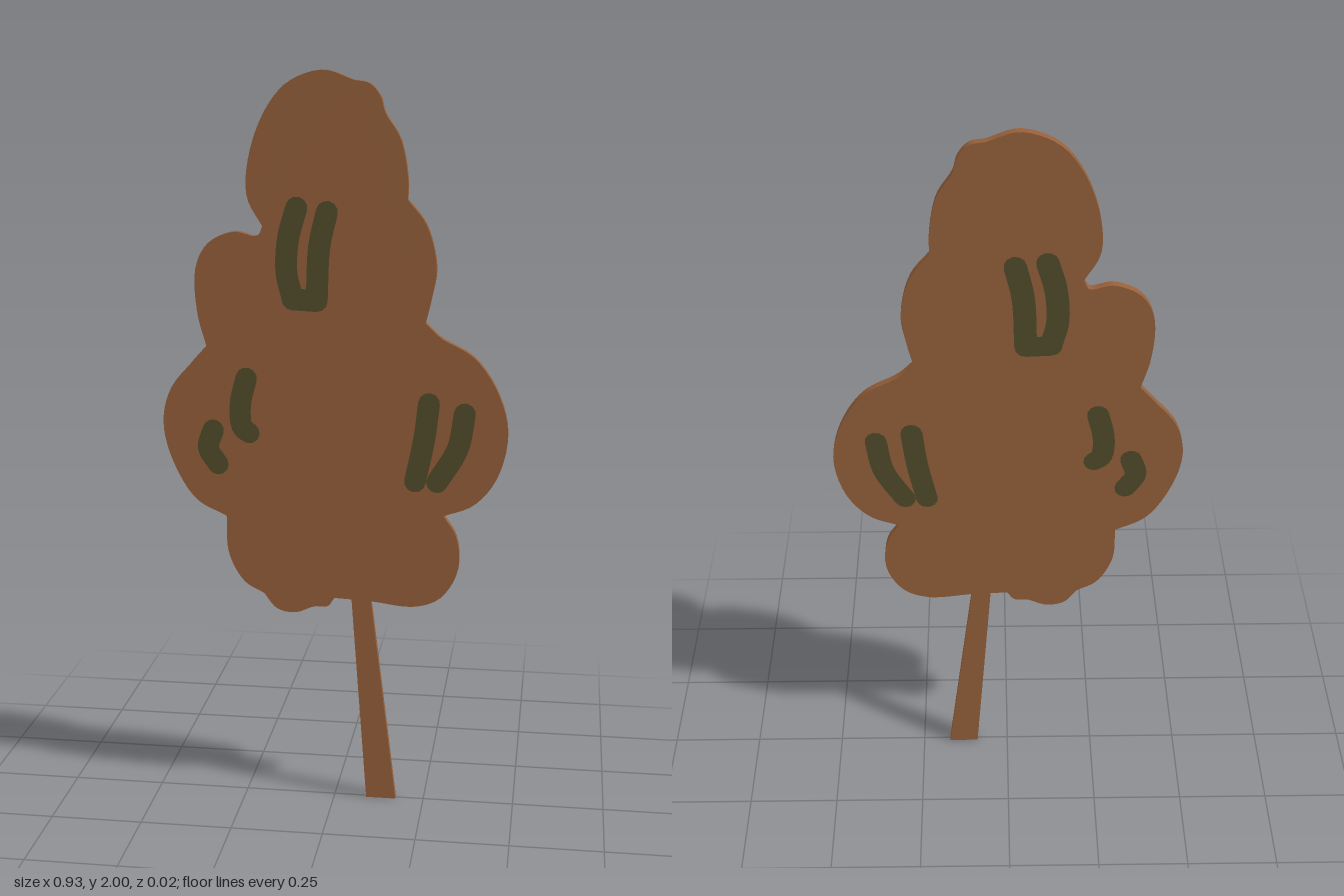
import * as THREE from 'three';
import { toCreasedNormals } from 'three/addons/utils/BufferGeometryUtils.js';

const THICK = 0.022;

const curveThrough = (pts) =>
  new THREE.CatmullRomCurve3(pts.map(([x, y]) => new THREE.Vector3(x, y, 0)), false, 'centripetal');

function slab(shape, depth, z, material, name) {
  const geometry = new THREE.ExtrudeGeometry(shape, { depth, bevelEnabled: false });
  geometry.translate(0, 0, z);
  const mesh = new THREE.Mesh(toCreasedNormals(geometry, 0.6), material);
  mesh.name = name;
  return mesh;
}

// Rounded brush stroke along a path
function strokeShape(pts, width) {
  const curve = curveThrough(pts), n = 14, r = width / 2;
  const left = [], right = [];
  for (let i = 0; i <= n; i++) {
    const t = i / n, p = curve.getPoint(t), d = curve.getTangent(t);
    left.push(new THREE.Vector2(p.x - d.y * r, p.y + d.x * r));
    right.push(new THREE.Vector2(p.x + d.y * r, p.y - d.x * r));
  }
  const cap = (t, sign) => {
    const p = curve.getPoint(t), d = curve.getTangent(t);
    const start = Math.atan2(d.x * sign, -d.y * sign);
    return [1, 2, 3, 4, 5].map((k) => {
      const a = start - (k * Math.PI) / 6;
      return new THREE.Vector2(p.x + Math.cos(a) * r, p.y + Math.sin(a) * r);
    });
  };
  return new THREE.Shape([...left, ...cap(1, 1), ...right.reverse(), ...cap(0, -1)]);
}

export function createModel() {
  const group = new THREE.Group();
  const brown = new THREE.MeshStandardMaterial({ color: 0x96603a });
  brown.name = 'brown';
  const olive = new THREE.MeshStandardMaterial({ color: 0x524d2b });
  olive.name = 'olive';

  // Crown outline, one curve per lobe, clockwise, meeting in sharp notches
  const lobes = [
    [[-0.19, 1.6], [-0.23, 1.675], [-0.225, 1.78], [-0.18, 1.9], [-0.12, 1.97], [-0.03, 2], [0.05, 1.975]],
    [[0.05, 1.975], [0.09, 1.967], [0.118, 1.935], [0.13, 1.895], [0.17, 1.83], [0.19, 1.73], [0.19, 1.675]],
    [[0.19, 1.675], [0.24, 1.61], [0.267, 1.5], [0.255, 1.42], [0.24, 1.355]],
    [[0.24, 1.355], [0.28, 1.317], [0.37, 1.265], [0.435, 1.17], [0.462, 1.06], [0.435, 0.94], [0.375, 0.865], [0.295, 0.832]],
    [[0.295, 0.832], [0.33, 0.775], [0.336, 0.68], [0.29, 0.6], [0.22, 0.572], [0.1, 0.582], [0, 0.587]],
    [[0, 0.587], [-0.02, 0.562], [-0.055, 0.56], [-0.11, 0.54], [-0.16, 0.55], [-0.195, 0.592]],
    [[-0.195, 0.592], [-0.25, 0.625], [-0.292, 0.705], [-0.297, 0.81]],
    [[-0.297, 0.81], [-0.38, 0.855], [-0.445, 0.965], [-0.467, 1.07], [-0.445, 1.16], [-0.385, 1.235], [-0.345, 1.28]],
    [[-0.345, 1.28], [-0.368, 1.37], [-0.37, 1.49], [-0.335, 1.555], [-0.265, 1.585], [-0.205, 1.575], [-0.19, 1.6]],
  ];
  const outline = lobes.flatMap((lobe) =>
    curveThrough(lobe).getPoints(lobe.length * 4).slice(0, -1).map((p) => new THREE.Vector2(p.x, p.y)));
  group.add(slab(new THREE.Shape(outline), THICK, -THICK / 2, brown, 'crown'));

  // Leaning trunk
  const trunk = [[0.047, 0.585], [0.1, 0.582], [0.172, 0], [0.09, 0]];
  group.add(slab(new THREE.Shape(trunk.map(([x, y]) => new THREE.Vector2(x, y))), THICK, -THICK / 2, brown, 'trunk'));

  // Painted leaf strokes on both faces
  const strokes = [
    [[-0.1, 1.65], [-0.122, 1.57], [-0.127, 1.48], [-0.112, 1.415]],
    [[-0.02, 1.64], [-0.04, 1.55], [-0.047, 1.41]],
    [[-0.112, 1.41], [-0.047, 1.407]],
    [[-0.238, 1.195], [-0.255, 1.12], [-0.25, 1.06], [-0.232, 1.045]],
    [[-0.33, 1.05], [-0.344, 1.0], [-0.318, 0.955]],
    [[0.252, 1.14], [0.24, 1.04], [0.217, 0.925]],
    [[0.347, 1.115], [0.33, 1.02], [0.276, 0.925]],
  ];
  const marks = new THREE.Group();
  marks.name = 'leafStrokes';
  for (const path of strokes) {
    const shape = strokeShape(path, 0.058);
    marks.add(slab(shape, 0.002, THICK / 2 - 0.001, olive, 'frontStroke'));
    marks.add(slab(shape, 0.002, -THICK / 2 - 0.001, olive, 'backStroke'));
  }
  group.add(marks);
  return group;
}
